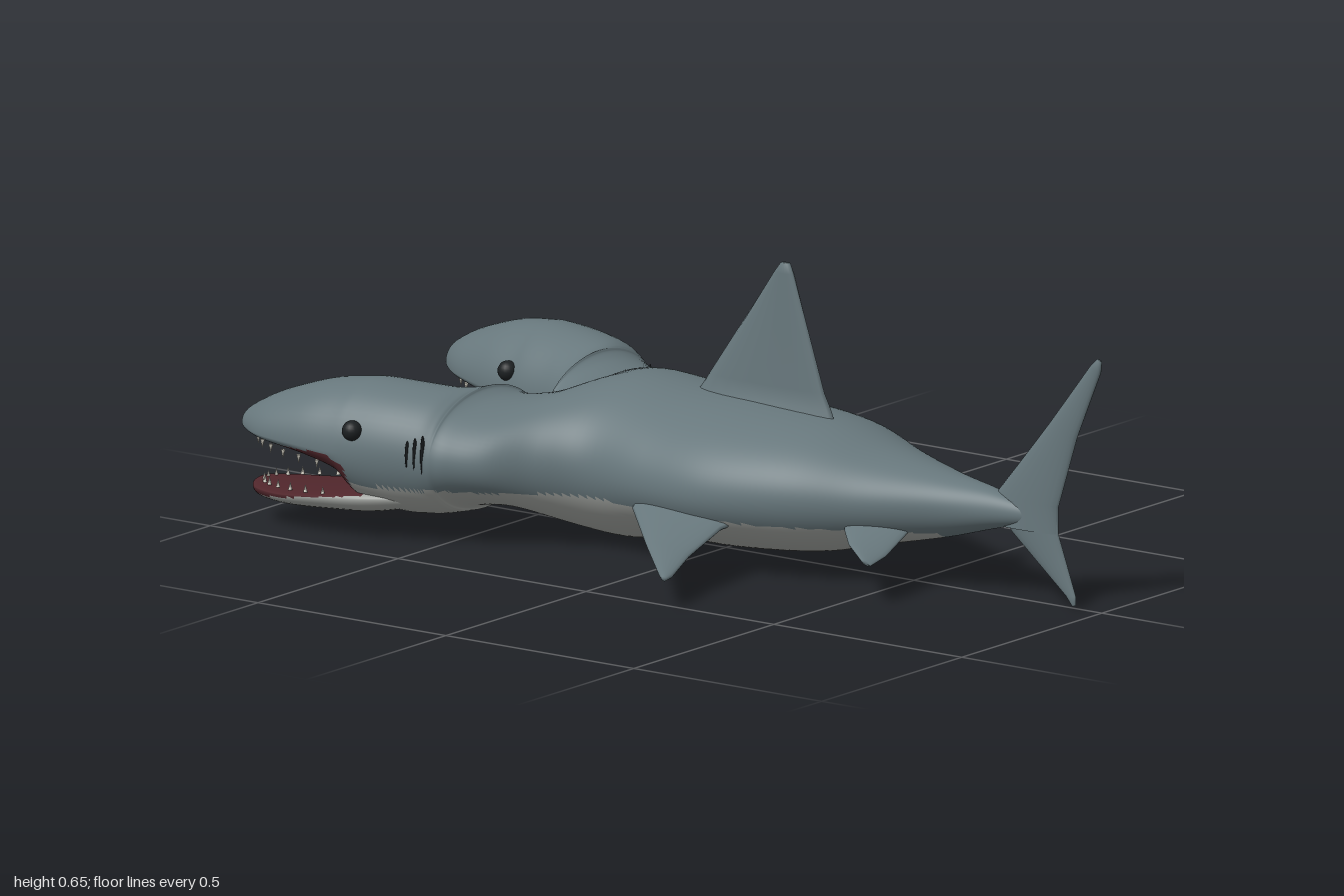
import * as THREE from 'three';
import { mergeGeometries, mergeVertices } from 'three/addons/utils/BufferGeometryUtils.js';

const V = (x, y, z) => new THREE.Vector3(x, y, z);
const paint = (color) => new THREE.MeshStandardMaterial({ color });
const SKIN = paint(0x67777c), BELLY = paint(0xa3a6a2), MOUTH = paint(0x50262b);
const DARK = paint(0x1c2022), TOOTH = paint(0xd8d4c8);

// Skin a list of equal-length rings
function loft(rings) {
  const n = rings[0].length, index = [];
  for (let j = 0; j < rings.length - 1; j++) {
    for (let i = 0; i < n - 1; i++) {
      const a = j * n + i, b = a + 1, c = a + n, d = c + 1;
      index.push(a, b, c, b, d, c);
    }
  }
  const geo = new THREE.BufferGeometry().setFromPoints(rings.flat());
  geo.setIndex(index);
  return geo;
}

function mirrored(geo) {
  const copy = geo.clone().scale(-1, 1, 1), ix = copy.index.array;
  for (let i = 0; i < ix.length; i += 3) [ix[i], ix[i + 1]] = [ix[i + 1], ix[i]];
  return copy;
}

function smooth(...geos) {
  const geo = mergeVertices(mergeGeometries(geos), 1e-4);
  geo.computeVertexNormals();
  return geo;
}

// Smoothly resample a table of rows
function resample(rows, steps) {
  const curves = [0, 3].map((k) => new THREE.CatmullRomCurve3(
    rows.map((r) => V(r[k], r[k + 1], r[k + 2])), false, 'catmullrom', 0.5));
  const count = (rows.length - 1) * steps;
  return Array.from({ length: count + 1 }, (_, i) =>
    curves.flatMap((c) => c.getPoint(i / count).toArray()));
}

// Share one smooth surface between several coloured meshes
function addPainted(group, geo, parts, choose) {
  const p = geo.attributes.position, ix = geo.index.array, lists = parts.map(() => []);
  for (let i = 0; i < ix.length; i += 3) {
    const [a, b, c] = [0, 1, 2].map((k) => V().fromBufferAttribute(p, ix[i + k]));
    const mid = a.clone().add(b).add(c).divideScalar(3);
    const normal = b.sub(a).cross(c.sub(a)).normalize();
    lists[choose(mid, normal)].push(ix[i], ix[i + 1], ix[i + 2]);
  }
  parts.forEach(([name, material], k) => {
    const g = geo.clone();
    g.setIndex(lists[k]);
    add(group, name, g, material);
  });
}

function add(group, name, geo, material) {
  const mesh = new THREE.Mesh(geo, material);
  mesh.name = name;
  group.add(mesh);
  return mesh;
}

// Section point: separate heights above and below the mid line
const level = (v, top, mid, bot) => mid + v * (v > 0 ? top - mid : mid - bot);
const headPoint = (u, z, inner, outer, top, mid, bot) => V(
  (inner + outer) / 2 - (outer - inner) / 2 * Math.cos(2 * Math.PI * u),
  level(Math.sin(2 * Math.PI * u), top, mid, bot), z);

// Half of the shell: a half oval at the trunk that becomes a whole oval at the head
function shellHalf() {
  const rows = [ // z, inner x, outer x, top, mid, bottom
    [0.82, 0, 0.008, 0.205, 0.19, 0.175], [0.72, 0, 0.04, 0.235, 0.19, 0.15],
    [0.6, 0, 0.08, 0.255, 0.19, 0.115], [0.45, 0, 0.15, 0.285, 0.185, 0.08],
    [0.3, 0, 0.22, 0.325, 0.185, 0.045], [0.12, 0, 0.263, 0.34, 0.18, 0.03],
    [-0.05, 0, 0.255, 0.345, 0.18, 0.026], [-0.2, 0, 0.24, 0.36, 0.185, 0.004],
    [-0.3, 0, 0.285, 0.35, 0.185, 0.018], [-0.38, 0, 0.355, 0.328, 0.187, 0.052],
    [-0.45, 0, 0.392, 0.323, 0.19, 0.06], [-0.48, 0, 0.403, 0.325, 0.19, 0.06],
    [-0.49, 0, 0.407, 0.326, 0.19, 0.06], [-0.5, 0.06, 0.41, 0.327, 0.19, 0.06],
    [-0.53, 0.125, 0.42, 0.33, 0.195, 0.058], [-0.6, 0.155, 0.44, 0.336, 0.2, 0.057],
    [-0.68, 0.17, 0.455, 0.34, 0.2, 0.075], [-0.72, 0.18, 0.461, 0.337, 0.2, 0.13],
    [-0.8, 0.197, 0.468, 0.325, 0.205, 0.165], [-0.9, 0.24, 0.46, 0.292, 0.21, 0.185],
    [-0.96, 0.288, 0.43, 0.262, 0.214, 0.195], [-0.99, 0.335, 0.4, 0.24, 0.217, 0.206],
    [-1, 0.367, 0.369, 0.221, 0.22, 0.219],
  ];
  const N = 56;
  return loft(resample(rows, 6).map(([z, inn, outer, top, mid, bot]) => {
    const inner = Math.max(0, inn);
    const s = THREE.MathUtils.clamp((-0.2 - z) / 0.29, 0, 1);
    const w = 1 - Math.sqrt(1 - s * s);
    return Array.from({ length: N + 1 }, (_, i) => {
      const u = i / N;
      const trunk = V(outer * Math.sin(Math.PI * u), level(Math.cos(Math.PI * u), top, mid, bot), z);
      return trunk.lerp(headPoint(u, z, inner, outer, top, mid, bot), w);
    });
  }));
}

function jawHalf() {
  const rows = [ // z, inner x, outer x, top, mid, bottom
    [-0.56, 0.22, 0.38, 0.12, 0.1, 0.075], [-0.66, 0.2, 0.425, 0.115, 0.095, 0.054],
    [-0.76, 0.21, 0.437, 0.1, 0.088, 0.047], [-0.86, 0.235, 0.44, 0.09, 0.08, 0.045],
    [-0.93, 0.27, 0.425, 0.09, 0.08, 0.05], [-0.965, 0.31, 0.395, 0.092, 0.082, 0.062],
    [-0.98, 0.352, 0.354, 0.086, 0.085, 0.084],
  ];
  return loft(resample(rows, 5).map((r) =>
    Array.from({ length: 37 }, (_, i) => headPoint(i / 36, ...r))));
}

// Fin from [leading point, trailing point, half thickness] sections, closed at the tip
function fin(sections) {
  const centre = ([a, b]) => V(...a).add(V(...b)).multiplyScalar(0.5);
  const last = sections[sections.length - 1];
  const span = centre(last).sub(centre(sections[0]));
  const rings = sections.map((sec) => {
    const chord = V(...sec[1]).sub(V(...sec[0]));
    const side = chord.clone().cross(span).normalize();
    return Array.from({ length: 21 }, (_, i) => {
      const t = i / 20 * Math.PI * 2;
      return centre(sec).addScaledVector(chord, -Math.cos(t) / 2)
        .addScaledVector(side, sec[2] * Math.sin(t));
    });
  });
  rings.push(rings[0].map(() => centre(last)));
  return loft(rings);
}

export function createModel() {
  const shark = new THREE.Group();
  shark.name = 'twoHeadedShark';

  // Trunk, necks and snouts as one skin
  const half = shellHalf();
  addPainted(shark, smooth(half, mirrored(half)),
    [['bodyBack', SKIN], ['bodyBelly', BELLY], ['palates', MOUTH]],
    (p, n) => (p.z < -0.685 && p.y < 0.195 && n.y < -0.3 ? 2 : p.y < 0.13 && p.z < 0.6 ? 1 : 0));

  // Lower jaws with dark gums
  const jaw = jawHalf();
  addPainted(shark, smooth(jaw, mirrored(jaw)), [['lowerJaws', BELLY], ['lowerGums', MOUTH]],
    (p, n) => (p.z < -0.66 && p.y > 0.1 + (p.z + 0.68) * 0.14 && n.y > -0.75 ? 1 : 0));

  // Fins on the centre line
  add(shark, 'dorsalFin', smooth(fin([
    [[0, 0.29, -0.11], [0, 0.29, 0.3], 0.04], [[0, 0.345, -0.07], [0, 0.345, 0.28], 0.02],
    [[0, 0.38, -0.045], [0, 0.38, 0.262], 0.014], [[0, 0.63, 0.13], [0, 0.63, 0.18], 0.012],
    [[0, 0.652, 0.147], [0, 0.652, 0.17], 0.007]])), SKIN);
  add(shark, 'tailFinUpper', smooth(fin([
    [[0, 0.16, 0.7], [0, 0.16, 0.885], 0.016], [[0, 0.235, 0.725], [0, 0.22, 0.885], 0.014],
    [[0, 0.4, 0.86], [0, 0.38, 0.935], 0.011], [[0, 0.545, 0.972], [0, 0.53, 0.997], 0.008],
    [[0, 0.56, 0.988], [0, 0.555, 1], 0.004]])), SKIN);
  add(shark, 'tailFinLower', smooth(fin([
    [[0, 0.22, 0.71], [0, 0.22, 0.885], 0.014], [[0, 0.15, 0.76], [0, 0.16, 0.885], 0.012],
    [[0, 0.03, 0.905], [0, 0.03, 0.93], 0.008], [[0, 0.008, 0.922], [0, 0.01, 0.93], 0.004]])), SKIN);

  // Paired fins
  const pectoral = fin([
    [[0.16, 0.15, -0.1], [0.16, 0.14, 0.2], 0.03], [[0.255, 0.132, -0.06], [0.25, 0.118, 0.175], 0.017],
    [[0.4, 0.1, 0.085], [0.4, 0.09, 0.2], 0.012], [[0.505, 0.076, 0.195], [0.5, 0.07, 0.23], 0.009],
    [[0.527, 0.07, 0.22], [0.525, 0.068, 0.233], 0.005]]);
  const pelvic = fin([
    [[0.07, 0.155, 0.37], [0.04, 0.145, 0.54], 0.018], [[0.155, 0.135, 0.43], [0.1, 0.122, 0.545], 0.011],
    [[0.2, 0.118, 0.475], [0.18, 0.1, 0.56], 0.009], [[0.248, 0.102, 0.545], [0.24, 0.09, 0.563], 0.005]]);
  for (const [side, flip] of [['left', (g) => g], ['right', mirrored]]) {
    add(shark, side + 'PectoralFin', smooth(flip(pectoral)), SKIN);
    add(shark, side + 'PelvicFin', smooth(flip(pelvic)), SKIN);
  }

  // Eyes, gills and teeth of each head
  for (const s of [1, -1]) {
    const face = new THREE.Group();
    face.name = s > 0 ? 'leftFace' : 'rightFace';
    shark.add(face);
    for (const [x, z] of [[0.443, -0.665], [0.193, -0.725]]) {
      add(face, 'eye', new THREE.SphereGeometry(0.022, 20, 14), DARK).position.set(s * x, 0.25, z);
    }
    for (let i = 0; i < 3; i++) {
      const gill = add(face, 'gillSlit', new THREE.SphereGeometry(1, 10, 10), DARK);
      gill.scale.set(0.008, 0.045 - i * 0.007, 0.003);
      gill.position.set(s * (0.406 + i * 0.006), 0.21, -0.505 - i * 0.016);
    }
    for (let i = 0; i <= 14; i++) {
      const t = i / 14 * Math.PI, k = Math.sin(t), c = Math.cos(t);
      const upper = add(face, 'upperTooth', new THREE.ConeGeometry(0.005, 0.02, 5), TOOTH);
      upper.position.set(s * (0.327 + 0.035 * k + 0.115 * c), 0.163 + 0.024 * k, -0.76 - 0.2 * k);
      upper.rotation.x = Math.PI;
      const lower = add(face, 'lowerTooth', new THREE.ConeGeometry(0.005, 0.018, 5), TOOTH);
      lower.position.set(s * (0.325 + 0.027 * k + 0.095 * c), 0.101 - 0.004 * k, -0.76 - 0.195 * k);
    }
  }
  return shark;
}
